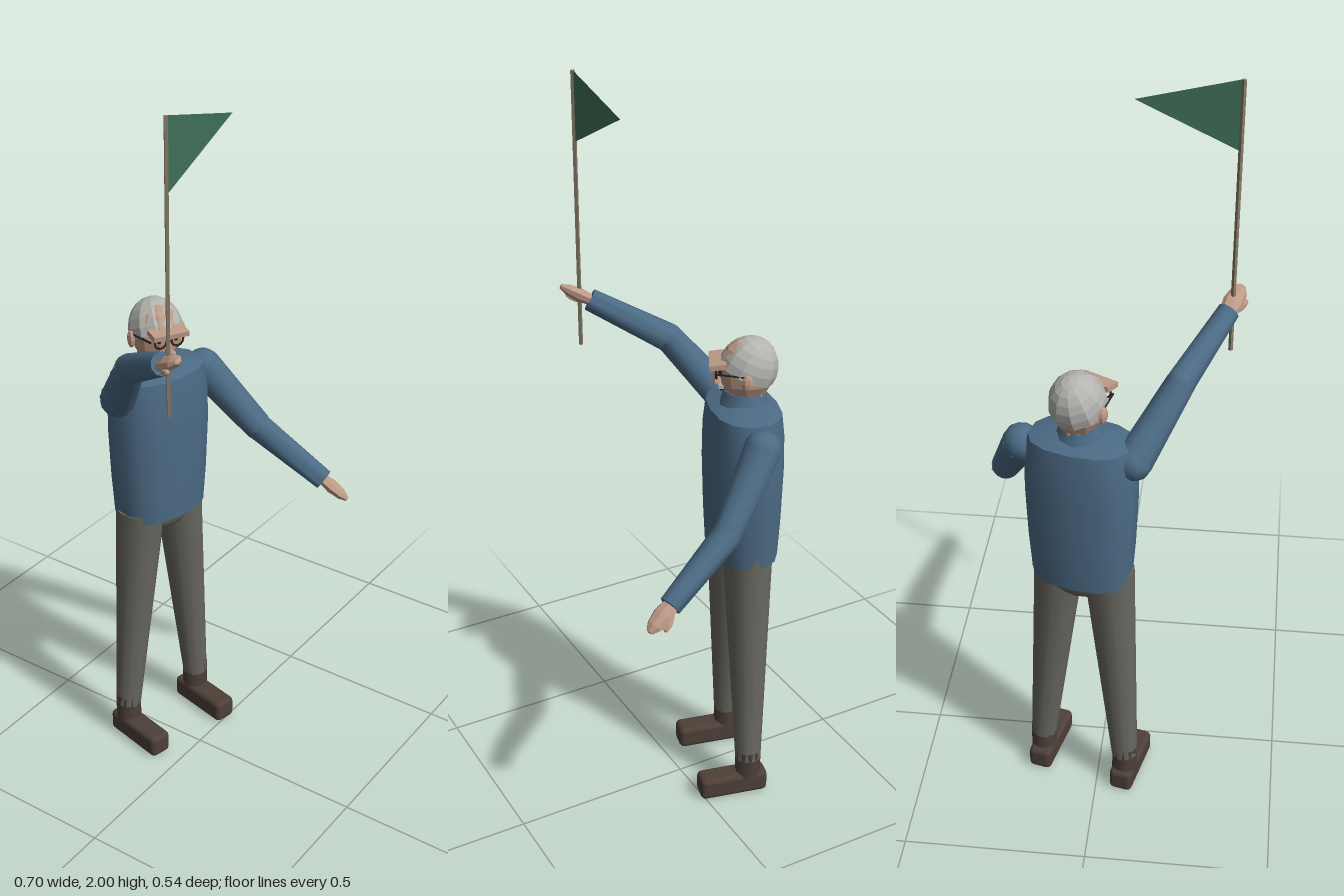
import * as THREE from 'three';
import { toCreasedNormals } from 'three/addons/utils/BufferGeometryUtils.js';
import { RoundedBoxGeometry } from 'three/addons/geometries/RoundedBoxGeometry.js';

const mat = (color, flatShading = false) =>
  new THREE.MeshStandardMaterial({ color, flatShading });
const V = (x, y, z) => new THREE.Vector3(x, y, z);
const UP = V(0, 1, 0);

export function createModel() {
  const root = new THREE.Group();
  const blue = mat(0x4c6b85), grey = mat(0x68665f), brown = mat(0x4d4038);
  const skin = mat(0xbd9a86, true), hairMat = mat(0xb4b4b0, true);
  const dark = mat(0x2b2522), wood = mat(0x857a66);
  const flagMat = mat(0x3f6f59);
  flagMat.side = THREE.DoubleSide;

  const add = (parent, name, geo, material, pos = V(0, 0, 0)) => {
    const m = new THREE.Mesh(geo, material);
    m.name = name;
    m.position.copy(pos);
    parent.add(m);
    return m;
  };
  const group = (parent, name, pos, yaw) => {
    const g = new THREE.Group();
    g.name = name;
    g.position.copy(pos);
    g.rotation.y = yaw;
    parent.add(g);
    return g;
  };
  // Tapered limb segment from a (radius ra) to b (radius rb)
  const limb = (parent, name, a, b, ra, rb, material, sides = 10) => {
    const geo = toCreasedNormals(new THREE.CylinderGeometry(rb, ra, a.distanceTo(b), sides), 0.9);
    const m = add(parent, name, geo, material, a.clone().lerp(b, 0.5));
    m.quaternion.setFromUnitVectors(UP, b.clone().sub(a).normalize());
    return m;
  };
  const joint = (parent, name, p, r, material) =>
    add(parent, name, new THREE.SphereGeometry(r, 10, 8), material, p);

  const bodyYaw = -0.23, headYaw = -0.5;

  // Jumper: rounded-square rings swept up the trunk
  const body = group(root, 'body', V(0.04, 0, -0.167), bodyYaw);
  const profile = [[0, 0.74], [0.134, 0.74], [0.142, 0.85], [0.148, 1.0], [0.146, 1.1],
    [0.136, 1.165], [0.062, 1.185], [0, 1.185]].map(([r, y]) => new THREE.Vector2(r, y));
  const trunk = new THREE.LatheGeometry(profile, 14);
  const p = trunk.attributes.position;
  const square = (c) => Math.sign(c) * Math.abs(c) ** 0.82;
  for (let i = 0; i < p.count; i++) {
    const x = p.getX(i), z = p.getZ(i), r = Math.hypot(x, z) || 1;
    p.setX(i, r * square(x / r));
    p.setZ(i, r * square(z / r) * 0.67);
  }
  trunk.computeVertexNormals();
  add(body, 'jumper', toCreasedNormals(trunk, 0.6), blue);
  add(body, 'collar', toCreasedNormals(new THREE.CylinderGeometry(0.052, 0.068, 0.045, 10), 0.7),
    blue, V(0, 1.19, 0));
  const pelvis = add(body, 'pelvis', new THREE.SphereGeometry(0.1, 12, 8), grey, V(0, 0.745, 0));
  pelvis.scale.set(1.1, 0.75, 0.75);

  // Legs and shoes
  const legs = [
    ['left', V(0.104, 0.76, -0.15), V(0.161, 0.11, -0.132), V(0.148, 0.034, -0.088)],
    ['right', V(-0.032, 0.76, -0.178), V(-0.08, 0.11, -0.2), V(-0.092, 0.034, -0.15)],
  ];
  for (const [side, hip, ankle, shoe] of legs) {
    limb(root, side + 'TrouserLeg', hip, ankle, 0.068, 0.036, grey, 12);
    limb(root, side + 'ShoeCuff', V(ankle.x, 0.05, ankle.z), V(ankle.x, 0.14, ankle.z),
      0.036, 0.036, brown);
    const s = add(root, side + 'Shoe', new RoundedBoxGeometry(0.066, 0.066, 0.196, 2, 0.015),
      brown, shoe);
    s.rotation.y = bodyYaw;
  }

  // Arms with mitten-like hands
  const arms = [
    ['left', V(0.198, 1.115, -0.13), V(0.266, 0.94, 0.01), V(0.312, 0.81, 0.2),
      V(0.329, 0.762, 0.268), -1],
    ['right', V(-0.095, 1.12, -0.195), V(-0.2, 1.285, -0.075), V(-0.305, 1.392, 0.105),
      V(-0.337, 1.432, 0.175), 1],
  ];
  for (const [side, shoulder, elbow, wrist, tip, inward] of arms) {
    joint(root, side + 'Shoulder', shoulder, 0.05, blue);
    limb(root, side + 'UpperSleeve', shoulder, elbow, 0.05, 0.039, blue);
    joint(root, side + 'Elbow', elbow, 0.039, blue);
    limb(root, side + 'LowerSleeve', elbow, wrist, 0.039, 0.03, blue);
    const dir = tip.clone().sub(wrist).normalize();
    const palm = new THREE.LatheGeometry([[0, -0.055], [0.02, -0.05], [0.028, -0.005],
      [0.022, 0.03], [0.01, 0.05], [0, 0.052]].map(([r, y]) => new THREE.Vector2(r, y)), 8);
    const hand = group(root, side + 'Hand', wrist.clone().lerp(tip, 0.4), 0);
    hand.quaternion.setFromUnitVectors(UP, dir);
    add(hand, side + 'Palm', palm, skin).scale.set(1, 1, 0.65);
    const thumb = add(hand, side + 'Thumb', new THREE.SphereGeometry(0.011, 6, 5), skin,
      V(-0.022 * inward, 0.002, 0.01));
    thumb.scale.set(1, 2.4, 1);
    thumb.rotation.z = 0.25 * inward;
  }

  // Head, turned towards the flag
  const head = group(root, 'head', V(0.044, 1.27, -0.172), headYaw);
  add(head, 'skull', new THREE.SphereGeometry(0.074, 10, 8), skin).scale.set(0.93, 1.16, 1);
  add(head, 'neck', new THREE.CylinderGeometry(0.043, 0.045, 0.08, 10), skin, V(0, -0.075, -0.005));
  const hair = add(head, 'hair',
    new THREE.SphereGeometry(0.078, 11, 6, 0, Math.PI * 2, 0, 1.72), hairMat, V(0, 0.003, -0.003));
  hair.material.side = THREE.DoubleSide;
  hair.scale.set(0.94, 1.13, 1);
  hair.rotation.x = -0.42;
  add(head, 'brow', new THREE.BoxGeometry(0.1, 0.014, 0.045), skin, V(0, 0.024, 0.075))
    .rotation.x = 0.12;
  add(head, 'nose', new THREE.ConeGeometry(0.014, 0.045, 5), skin, V(0, -0.014, 0.078));
  add(head, 'moustache', new THREE.BoxGeometry(0.045, 0.01, 0.014), hairMat, V(0, -0.042, 0.066));
  add(head, 'mouth', new THREE.BoxGeometry(0.028, 0.004, 0.008), dark, V(0, -0.053, 0.064));
  for (const s of [-1, 1]) {
    add(head, 'ear', new THREE.SphereGeometry(0.02, 7, 6), skin, V(0.073 * s, -0.01, 0))
      .scale.set(0.5, 1.2, 0.8);
    add(head, 'glassesRim', new THREE.TorusGeometry(0.017, 0.003, 5, 12), dark,
      V(0.024 * s, 0.002, 0.079));
    add(head, 'eye', new THREE.SphereGeometry(0.008, 6, 5), dark, V(0.024 * s, 0.003, 0.068));
    add(head, 'glassesArm', new THREE.BoxGeometry(0.004, 0.004, 0.075), dark,
      V(0.061 * s, 0.006, 0.04)).rotation.y = -0.28 * s;
  }
  add(head, 'glassesBridge', new THREE.BoxGeometry(0.014, 0.004, 0.004), dark, V(0, 0.005, 0.081));

  // Pole and pennant
  limb(root, 'flagPole', V(-0.315, 1.265, 0.13), V(-0.315, 2, 0.13), 0.006, 0.006, wood, 4);
  const pennant = new THREE.Shape([[0, 0], [0, -0.18], [0.255, -0.06]]
    .map(([x, y]) => new THREE.Vector2(x, y)));
  add(root, 'pennant', new THREE.ShapeGeometry(pennant), flagMat, V(-0.312, 2, 0.13));

  return root;
}
